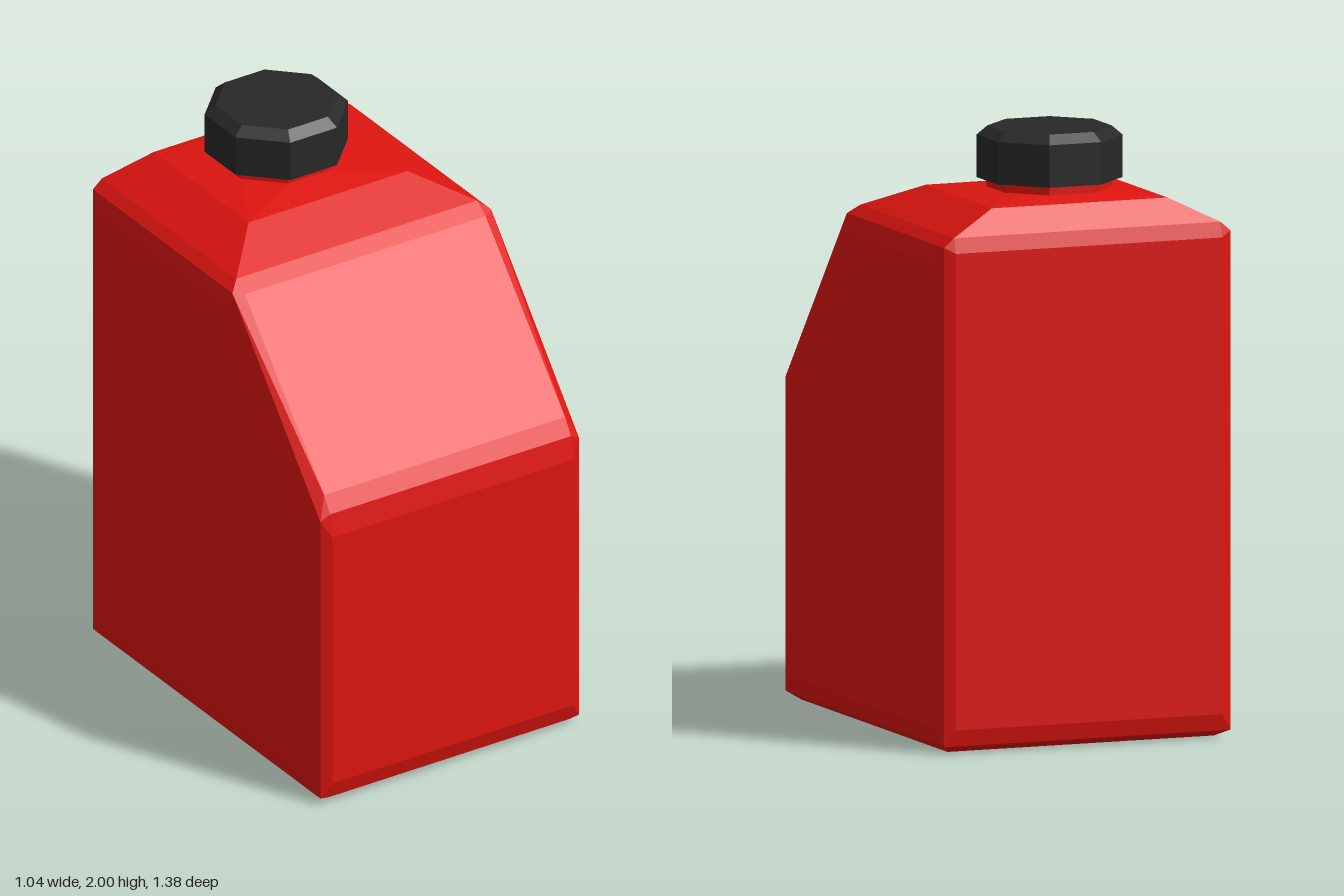
import * as THREE from 'three';
import { ConvexGeometry } from 'three/addons/geometries/ConvexGeometry.js';

const NECK_Z = -0.355;

// Eight-sided turned part with flats on the axes; radii are measured to the flats
function octagonLathe(profile, material, name) {
  const k = 1 / Math.cos(Math.PI / 8);
  const points = profile.map(([r, y]) => new THREE.Vector2(r * k, y));
  const mesh = new THREE.Mesh(new THREE.LatheGeometry(points, 8, Math.PI / 8), material);
  mesh.position.z = NECK_Z;
  mesh.name = name;
  return mesh;
}

export function createModel() {
  const group = new THREE.Group();
  group.name = 'fuelCan';
  const red = new THREE.MeshStandardMaterial({ color: 0xdd1510, flatShading: true });
  const black = new THREE.MeshStandardMaterial({ color: 0x282828, flatShading: true });

  // Body: side outlines [z, y] stepping outward in x to round every edge
  const layers = [
    { x: 0.47, outline: [
      [0.62, 0], [0.67, 0.02], [0.69, 0.08], [0.69, 1.0], [0.675, 1.08], [0.64, 1.135],
      [0.215, 1.61], [0.17, 1.665], [0.12, 1.70],
      [-0.675, 1.70], [-0.69, 1.65], [-0.69, 0.08], [-0.67, 0.02], [-0.62, 0]] },
    { x: 0.505, outline: [[0.67, 0.025], [0.67, 1.06], [0.15, 1.67], [-0.675, 1.67], [-0.675, 0.025]] },
    { x: 0.52, outline: [[0.62, 0.08], [0.62, 1.02], [0.12, 1.61], [-0.62, 1.61], [-0.62, 0.08]] },
    // Raised shoulder around the neck
    { x: 0.31, outline: [[-0.05, 1.78], [-0.61, 1.78]] },
  ];
  const points = [];
  for (const { x, outline } of layers) {
    for (const [z, y] of outline) {
      for (const side of [-1, 1]) points.push(new THREE.Vector3(side * x, y, z));
    }
  }
  // Flat octagon where the neck meets the body
  for (let i = 0; i < 8; i++) {
    const a = (i + 0.5) * Math.PI / 4;
    points.push(new THREE.Vector3(0.205 * Math.cos(a), 1.80, NECK_Z + 0.205 * Math.sin(a)));
  }
  const body = new THREE.Mesh(new ConvexGeometry(points), red);
  body.name = 'body';
  group.add(body);

  // Neck and chamfered screw cap
  group.add(octagonLathe([[0.19, 1.79], [0.19, 1.84]], red, 'neck'));
  group.add(octagonLathe([[0, 1.83], [0.22, 1.83], [0.22, 1.97], [0.187, 2.0], [0, 2.0]], black, 'cap'));
  return group;
}
